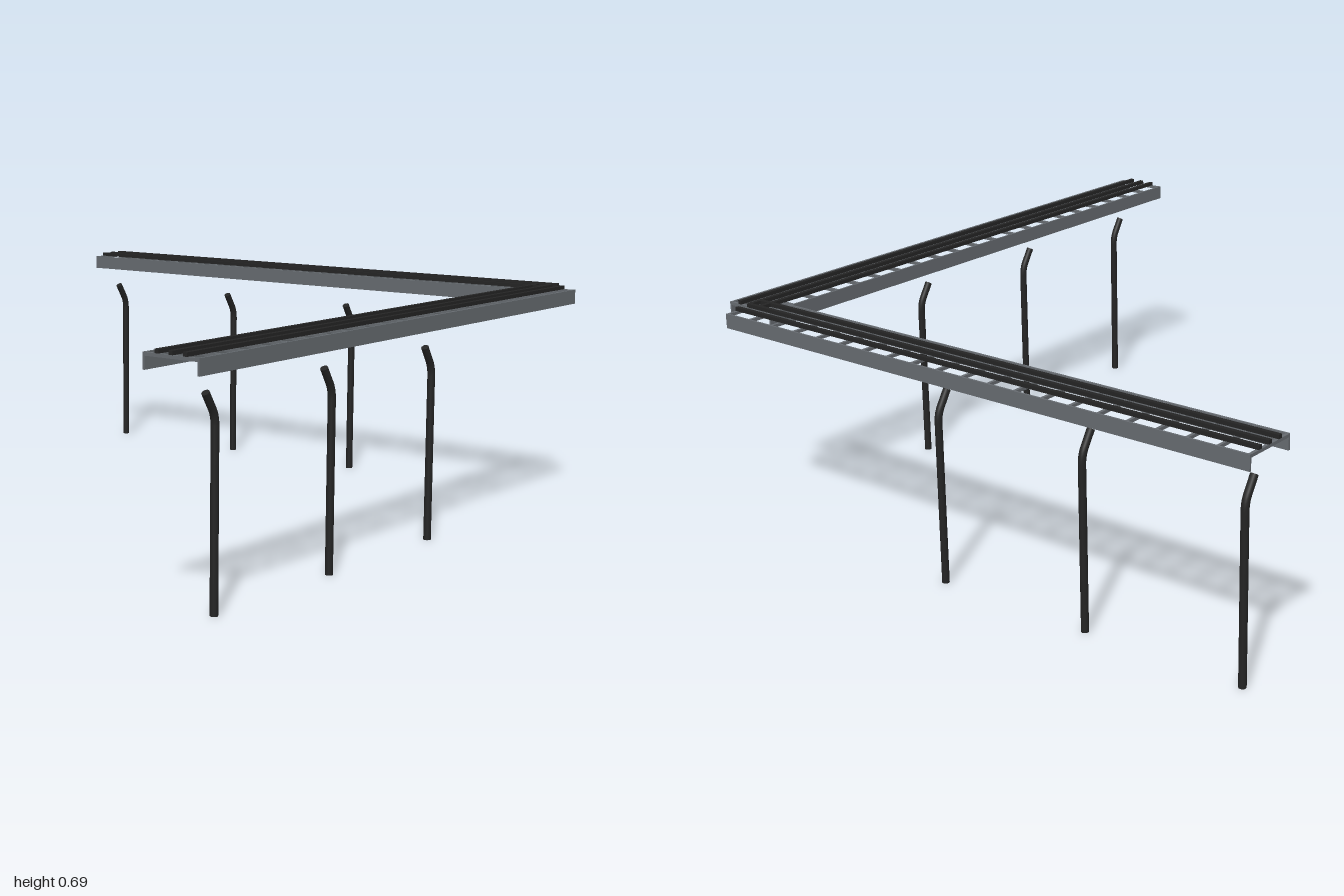
import * as THREE from 'three';

const graySteel = new THREE.MeshStandardMaterial({ color: 0x666b70 });
graySteel.name = 'graySteel';
const darkSteel = new THREE.MeshStandardMaterial({ color: 0x242424 });
darkSteel.name = 'darkSteel';

const WIDTH = 0.174;

function addBox(parent, name, material, size, position) {
  const mesh = new THREE.Mesh(new THREE.BoxGeometry(...size), material);
  mesh.name = name;
  mesh.position.set(...position);
  parent.add(mesh);
}

// Open ladder-like canopy running along its local x axis, centred on the origin
function makeCanopy(name, length, bays) {
  const canopy = new THREE.Group();
  canopy.name = name;
  // side fascias
  for (const side of [-1, 1]) {
    addBox(canopy, 'fascia', graySteel, [length, 0.044, 0.006], [0, 0.659, side * (WIDTH / 2 - 0.003)]);
  }
  // cross bars
  const bar = 0.009;
  for (let i = 0; i <= bays; i++) {
    const x = -length / 2 + bar / 2 + (i / bays) * (length - bar);
    addBox(canopy, 'crossBar', graySteel, [bar, 0.009, WIDTH - 0.01], [x, 0.676, 0]);
  }
  // long rails resting on the cross bars
  for (const z of [-0.0435, 0, 0.0435]) {
    addBox(canopy, 'rail', darkSteel, [length, 0.011, 0.013], [0, 0.686, z]);
  }
  return canopy;
}

// Round post whose top bends towards -x
function makePostGeometry() {
  const path = new THREE.CurvePath();
  const foot = new THREE.Vector3(0, 0, 0);
  const bendStart = new THREE.Vector3(0, 0.485, 0);
  const bendEnd = new THREE.Vector3(-0.012, 0.53, 0);
  const tip = new THREE.Vector3(-0.039, 0.573, 0);
  path.add(new THREE.LineCurve3(foot, bendStart));
  path.add(new THREE.QuadraticBezierCurve3(bendStart, new THREE.Vector3(0, 0.511, 0), bendEnd));
  path.add(new THREE.LineCurve3(bendEnd, tip));
  return { tube: new THREE.TubeGeometry(path, 60, 0.011, 12), tip, slope: tip.clone().sub(bendEnd) };
}

export function createModel() {
  const model = new THREE.Group();
  model.name = 'cornerCanopy';

  // front wing along x, side wing along z
  const front = makeCanopy('frontWing', 1.908, 21);
  front.position.set(-0.046, 0, 0.874);
  const side = makeCanopy('sideWing', 1.84, 20);
  side.rotation.y = Math.PI / 2;
  side.position.set(0.909, 0, -0.042);
  model.add(front, side);

  // posts under the centre line of each wing
  const { tube, tip, slope } = makePostGeometry();
  const cap = new THREE.CircleGeometry(0.011, 12);
  const spots = [
    [-0.826, 0.874], [-0.315, 0.874], [0.195, 0.874],
    [0.909, 0.128], [0.909, -0.38], [0.909, -0.892],
  ];
  for (const [x, z] of spots) {
    const post = new THREE.Group();
    post.name = 'post';
    post.position.set(x, 0, z);
    const shaft = new THREE.Mesh(tube, darkSteel);
    shaft.name = 'postShaft';
    // end caps
    const topCap = new THREE.Mesh(cap, darkSteel);
    topCap.name = 'postTopCap';
    topCap.position.copy(tip);
    topCap.quaternion.setFromUnitVectors(new THREE.Vector3(0, 0, 1), slope.clone().normalize());
    const footCap = new THREE.Mesh(cap, darkSteel);
    footCap.name = 'postFootCap';
    footCap.rotation.x = Math.PI / 2;
    post.add(shaft, topCap, footCap);
    model.add(post);
  }
  return model;
}
